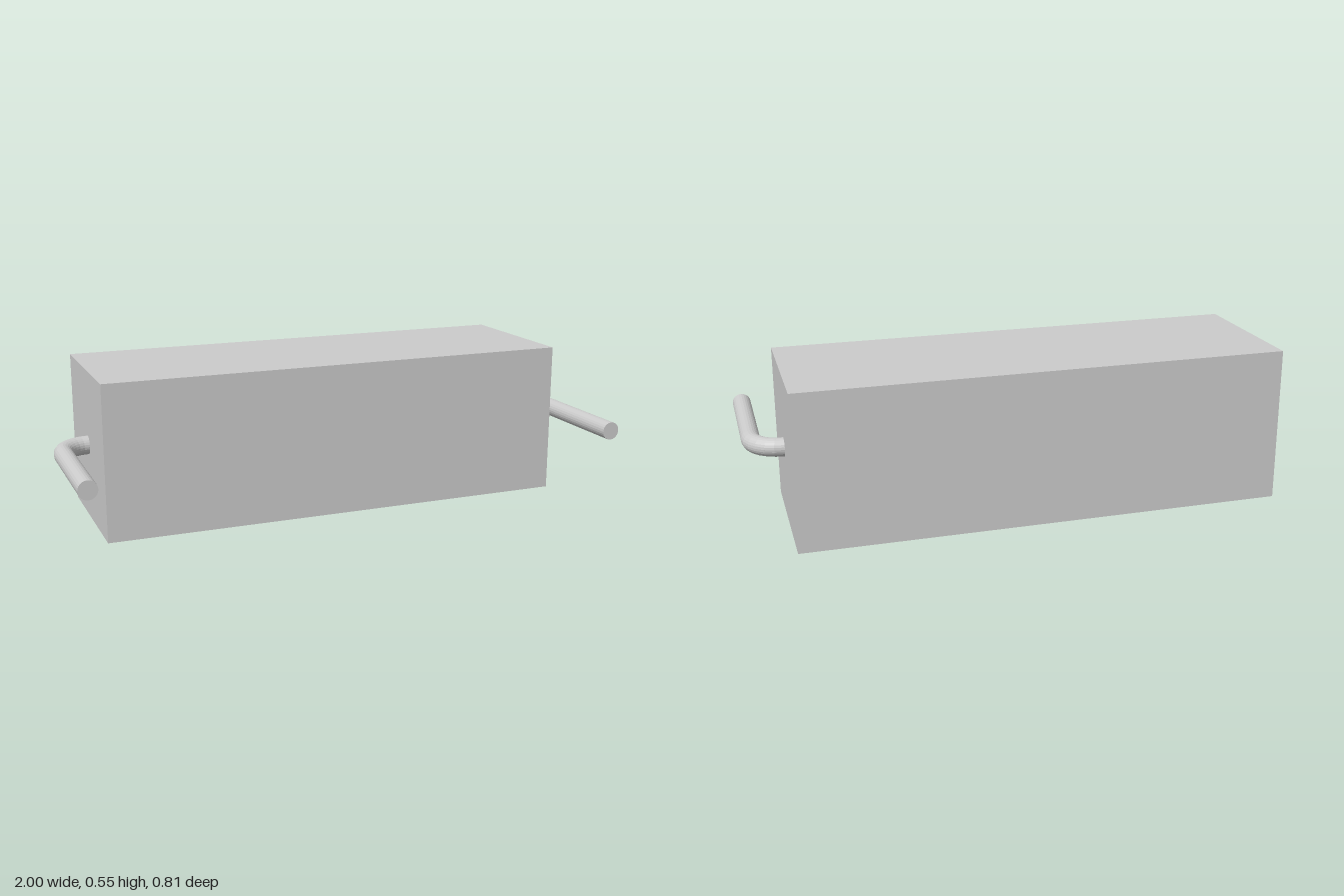
import * as THREE from 'three';

export function createModel() {
  const model = new THREE.Group();
  model.name = 'axialComponent';

  const bodyMaterial = new THREE.MeshStandardMaterial({ color: 0xcccccc });
  const leadMaterial = new THREE.MeshStandardMaterial({ color: 0xcccccc, flatShading: true });

  const bodyLength = 1.726, bodySize = 0.553, axisZ = -0.128;
  const leadRadius = 0.033, bendRadius = 0.104, tipZ = 0.404, sides = 24;
  const bendZ = axisZ + bendRadius;

  // Square block
  const body = new THREE.Mesh(new THREE.BoxGeometry(bodyLength, bodySize, bodySize), bodyMaterial);
  body.name = 'body';
  body.position.set(0, bodySize / 2, axisZ);
  model.add(body);

  // Quarter bend leaving the end face and turning forward
  const bendGeometry = new THREE.TorusGeometry(bendRadius, leadRadius, sides, 6, Math.PI / 2);
  bendGeometry.rotateX(-Math.PI / 2);
  bendGeometry.translate(bodyLength / 2, 0, bendZ);

  // Straight pin with a flat tip
  const pinLength = tipZ - bendZ;
  const pinGeometry = new THREE.CylinderGeometry(leadRadius, leadRadius, pinLength, sides);
  pinGeometry.rotateX(Math.PI / 2);
  pinGeometry.translate(bodyLength / 2 + bendRadius, 0, bendZ + pinLength / 2);

  // One lead per end; the second is turned half way round the z axis
  for (const [name, turn] of [['leftLead', 0], ['rightLead', Math.PI]]) {
    const lead = new THREE.Group();
    lead.name = name;
    const bend = new THREE.Mesh(bendGeometry, leadMaterial);
    bend.name = 'leadBend';
    const pin = new THREE.Mesh(pinGeometry, leadMaterial);
    pin.name = 'leadPin';
    lead.add(bend, pin);
    lead.position.y = bodySize / 2;
    lead.rotation.z = turn;
    model.add(lead);
  }

  return model;
}
